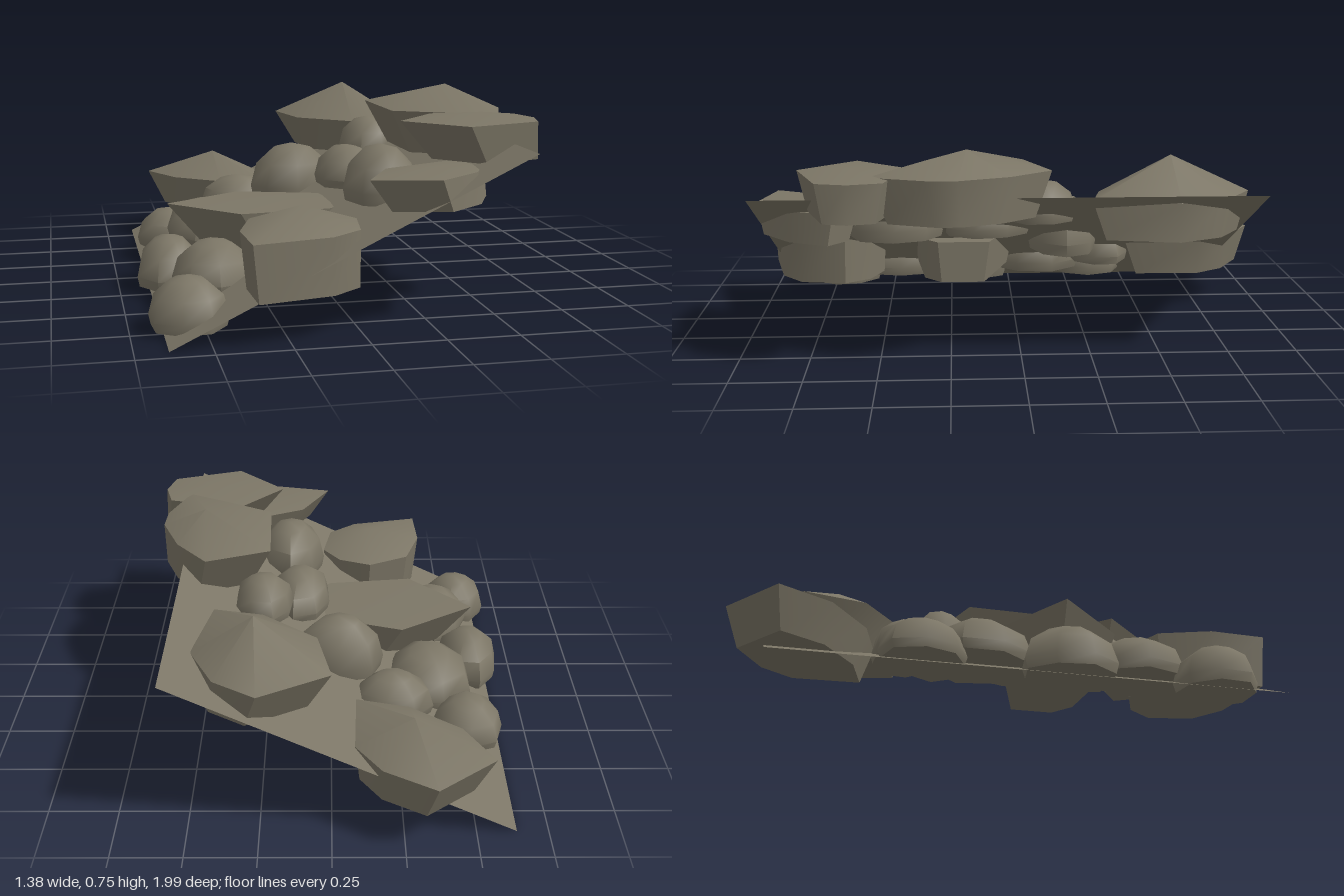
import * as THREE from 'three';
import { toCreasedNormals } from 'three/addons/utils/BufferGeometryUtils.js';

const stone = new THREE.MeshStandardMaterial({ color: 0x7c7666, side: THREE.DoubleSide });
stone.name = 'grey brown stone';

// Lofts a closed stone from an outline [x, z]; rings are [scale, y, x shift]
function loftStone(outline, rings, crease) {
  const n = outline.length;
  const cx = outline.reduce((s, p) => s + p[0], 0) / n;
  const cz = outline.reduce((s, p) => s + p[1], 0) / n;
  const sorted = [...outline].sort((a, b) =>
    Math.atan2(a[1] - cz, a[0] - cx) - Math.atan2(b[1] - cz, b[0] - cx));
  const pos = [], index = [];
  for (const [s, y, dx = 0] of rings)
    for (const [x, z] of sorted) pos.push(cx + (x - cx) * s + dx, y, cz + (z - cz) * s);
  for (let r = 0; r < rings.length - 1; r++)
    for (let i = 0; i < n; i++) {
      const j = (i + 1) % n;
      const a = r * n + i, a1 = r * n + j, b = a + n, b1 = a1 + n;
      if (rings[r][0] > 0) index.push(a, b, a1);
      if (rings[r + 1][0] > 0) index.push(b, b1, a1);
    }
  const g = new THREE.BufferGeometry();
  g.setAttribute('position', new THREE.Float32BufferAttribute(pos, 3));
  g.setIndex(index);
  return toCreasedNormals(g, crease);
}

// Boulders: outline, bottom, shoulder and peak heights, bottom scale, bottom x shift
const boulders = [
  { o: [[-.56, -.83], [-.35, -1], [-.17, -.89], [-.08, -.75], [-.09, -.45], [-.28, -.5], [-.46, -.64]],
    y: [.14, .28, .38], s: .82, dx: .02 },
  { o: [[0, -.72], [.25, -.86], [.4, -.76], [.49, -.57], [.43, -.26], [.25, -.3], [.05, -.47]],
    y: [.41, .55, .69], s: .84, dx: .04 },
  { o: [[.23, -.02], [.47, -.11], [.59, .04], [.66, .22], [.655, .33], [.58, .53], [.24, .34]],
    y: [.51, .67, .75], s: .8, dx: .03 },
  { o: [[.2, .59], [.37, .4], [.66, .47], [.69, .59], [.66, .7], [.39, .79]],
    y: [.53, .665, .69], s: .78, dx: .05 },
  { o: [[.01, .91], [.12, .7], [.38, .58], [.48, .66], [.4, .83], [.24, .96]],
    y: [.41, .52, .535], s: .84, dx: .04 },
  { o: [[-.57, .17], [-.28, -.02], [.09, .1], [.09, .3], [0, .38], [-.33, .42]],
    y: [.17, .325, .335], s: .82, dx: .06 },
  { o: [[-.39, .78], [-.33, .59], [-.17, .51], [-.04, .56], [.03, .66], [0, .84], [-.11, .93], [-.38, .99]],
    y: [.15, .345, .415], s: .95, dx: .01 },
];

// Round cobbles: x min, x max, z min, z max, bottom, top
const cobbles = [
  [.03, .3, .28, .64, .36, .57], [0, .24, -.05, .29, .36, .52],
  [.14, .37, -.22, .05, .44, .6], [-.2, .14, -.33, -.06, .26, .485],
  [-.38, -.08, -.48, -.23, .17, .335], [-.55, -.21, -.3, .09, .11, .29],
  [-.58, -.29, .27, .65, .08, .25], [-.69, -.42, .56, .86, .01, .19],
  [-.69, -.44, 0, .35, .02, .21], [-.65, -.38, -.49, -.18, .05, .21],
];

export function createModel() {
  const model = new THREE.Group();
  model.name = 'stony slope';
  const add = (geometry, name) => {
    const mesh = new THREE.Mesh(geometry, stone);
    mesh.name = name;
    model.add(mesh);
  };

  // Sloping ground sheet, rising towards +x
  const sheet = new THREE.PlaneGeometry(Math.hypot(1.21, .587), 1.805);
  sheet.rotateX(-Math.PI / 2).rotateZ(Math.atan2(.587, 1.21)).translate(-.035, .2985, .04);
  add(sheet, 'slope sheet');

  // Large angular boulders, widest at the shoulder
  boulders.forEach(({ o, y: [y0, y1, y2], s, dx }, i) => {
    const rings = [[0, y0 - .005, dx], [s, y0, dx], [1, y1], [0, y2]];
    add(loftStone(o, rings, 0.75), `boulder ${i + 1}`);
  });

  // Small domed cobbles with flat undersides
  cobbles.forEach(([x0, x1, z0, z1, y0, y1], k) => {
    const outline = [];
    for (let i = 0; i < 8; i++) {
      const a = (i + .3 * (k % 3)) * Math.PI / 4;
      const r = 1 + .04 * Math.sin(i * 2.3 + k);
      outline.push([(x0 + x1) / 2 + r * Math.cos(a) * (x1 - x0) / 2,
        (z0 + z1) / 2 + r * Math.sin(a) * (z1 - z0) / 2]);
    }
    const h = y1 - y0;
    const rings = [[0, y0], [.94, y0 + .01], [1, y0 + h * .25], [.86, y0 + h * .65], [.45, y0 + h * .92], [0, y1]];
    add(loftStone(outline, rings, 1.0), `cobble ${k + 1}`);
  });
  return model;
}
